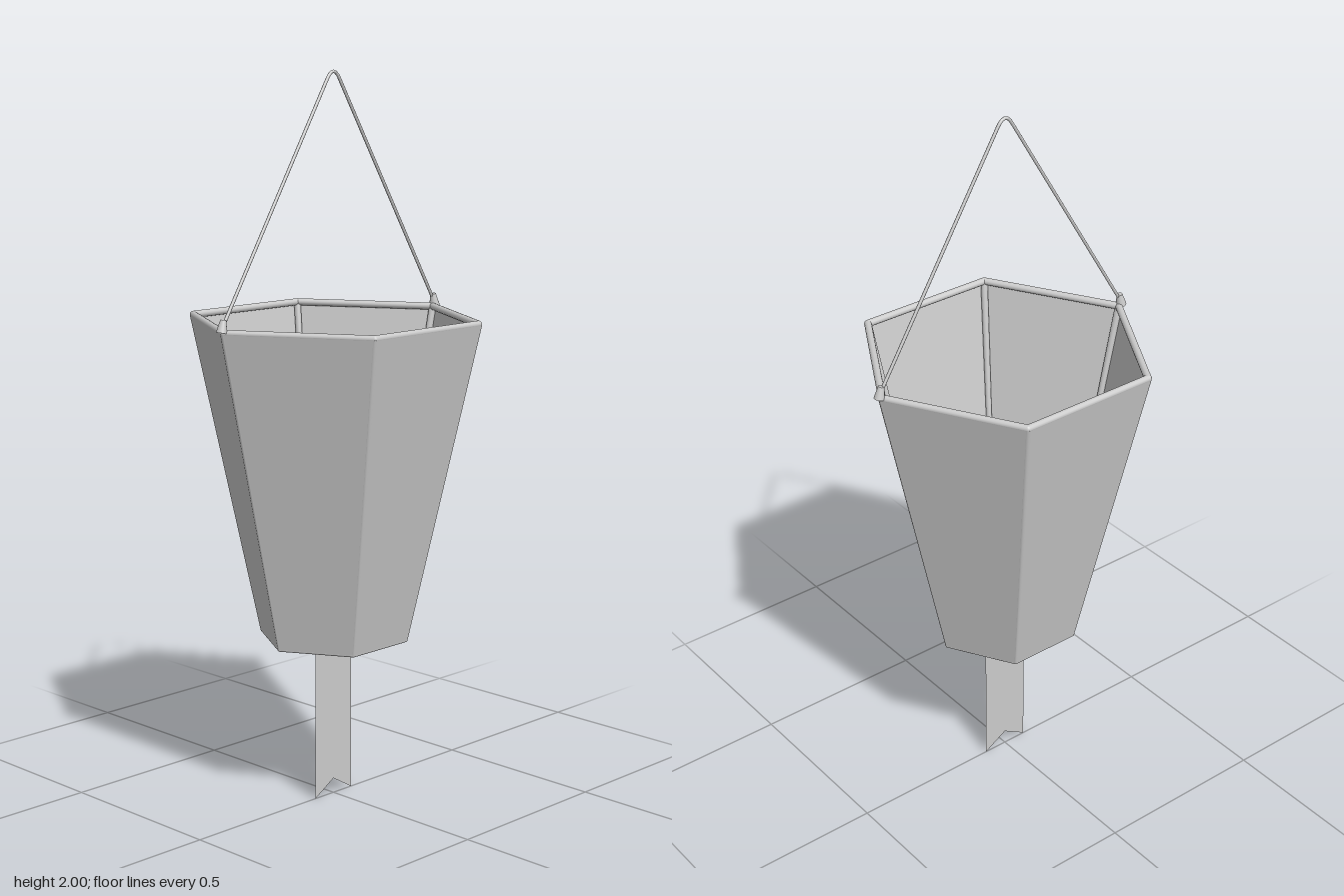
import * as THREE from 'three';

const V = (x, y, z) => new THREE.Vector3(x, y, z);
const TOP = { R: 0.396, y: 1.34, r: 0.01 };
const BOTTOM = { R: 0.204, y: 0.462, r: 0.006 };

export function createModel() {
  const group = new THREE.Group();
  const smooth = new THREE.MeshStandardMaterial({ color: 0xcccccc });
  const sheet = new THREE.MeshStandardMaterial({ color: 0xcccccc, flatShading: true, side: THREE.DoubleSide });

  const add = (name, geometry, material = smooth, parent = group) => {
    const mesh = new THREE.Mesh(geometry, material);
    mesh.name = name;
    parent.add(mesh);
    return mesh;
  };

  // Round rod between two points, with its own radius at each end
  const rod = (name, a, b, ra, rb = ra, parent = group) => {
    const dir = b.clone().sub(a);
    const mesh = add(name, new THREE.CylinderGeometry(rb, ra, dir.length(), 12), smooth, parent);
    mesh.position.copy(a).add(b).multiplyScalar(0.5);
    mesh.quaternion.setFromUnitVectors(V(0, 1, 0), dir.normalize());
    return mesh;
  };

  const corner = (ring, i) => {
    const a = (i * Math.PI) / 3;
    return V(ring.R * Math.cos(a), ring.y, ring.R * Math.sin(a));
  };

  // Hexagonal wire rims with rounded corners
  for (const [name, ring] of [['topRim', TOP], ['bottomRim', BOTTOM]]) {
    const rim = new THREE.Group();
    rim.name = name;
    group.add(rim);
    for (let i = 0; i < 6; i++) {
      rod('rimEdge', corner(ring, i), corner(ring, i + 1), ring.r, ring.r, rim);
      add('rimCorner', new THREE.SphereGeometry(ring.r, 12, 8), smooth, rim).position.copy(corner(ring, i));
    }
  }

  // Corner ribs and the flat panels stretched over their outer sides
  for (let i = 0; i < 6; i++) {
    rod('cornerRib', corner(BOTTOM, i), corner(TOP, i), BOTTOM.r, TOP.r);

    const a = ((i + 0.5) * Math.PI) / 3;
    const out = (ring, k) => corner(ring, k).add(V(Math.cos(a), 0, Math.sin(a)).multiplyScalar(ring.r * 0.98));
    const quad = [out(BOTTOM, i), out(TOP, i), out(TOP, i + 1), out(BOTTOM, i + 1)];
    const panel = new THREE.BufferGeometry().setFromPoints(quad);
    panel.setIndex([0, 1, 2, 0, 2, 3]);
    panel.computeVertexNormals();
    add('sidePanel', panel, sheet);
  }

  // Hanging cord with a rounded peak
  const path = new THREE.CurvePath();
  path.add(new THREE.LineCurve3(V(-0.402, 1.355, 0), V(-0.022, 1.978, 0)));
  path.add(new THREE.QuadraticBezierCurve3(V(-0.022, 1.978, 0), V(0, 2.014, 0), V(0.022, 1.978, 0)));
  path.add(new THREE.LineCurve3(V(0.022, 1.978, 0), V(0.402, 1.355, 0)));
  add('hangingCord', new THREE.TubeGeometry(path, 160, 0.0045, 8, false));

  // Small knots tying the cord to the rim
  for (const s of [-1, 1]) {
    const knot = add('cordKnot', new THREE.CylinderGeometry(0.008, 0.015, 0.034, 12));
    knot.position.set(s * 0.401, 1.359, 0);
    knot.rotation.z = s * 0.2;
  }

  // Bar across the bottom opening that carries the ribbon
  rod('crossBar', corner(BOTTOM, 3), corner(BOTTOM, 0), 0.005);

  // Swallow-tailed ribbon
  const tail = new THREE.Shape([[-0.07, 0.466], [-0.07, 0.003], [0, 0.045], [0.07, 0.003], [0.07, 0.466]]
    .map(([x, y]) => new THREE.Vector2(x, y)));
  add('ribbon', new THREE.ShapeGeometry(tail), sheet);
  const fold = add('ribbonFold', new THREE.CylinderGeometry(0.007, 0.007, 0.14, 12));
  fold.rotation.z = Math.PI / 2;
  fold.position.y = BOTTOM.y;

  return group;
}
